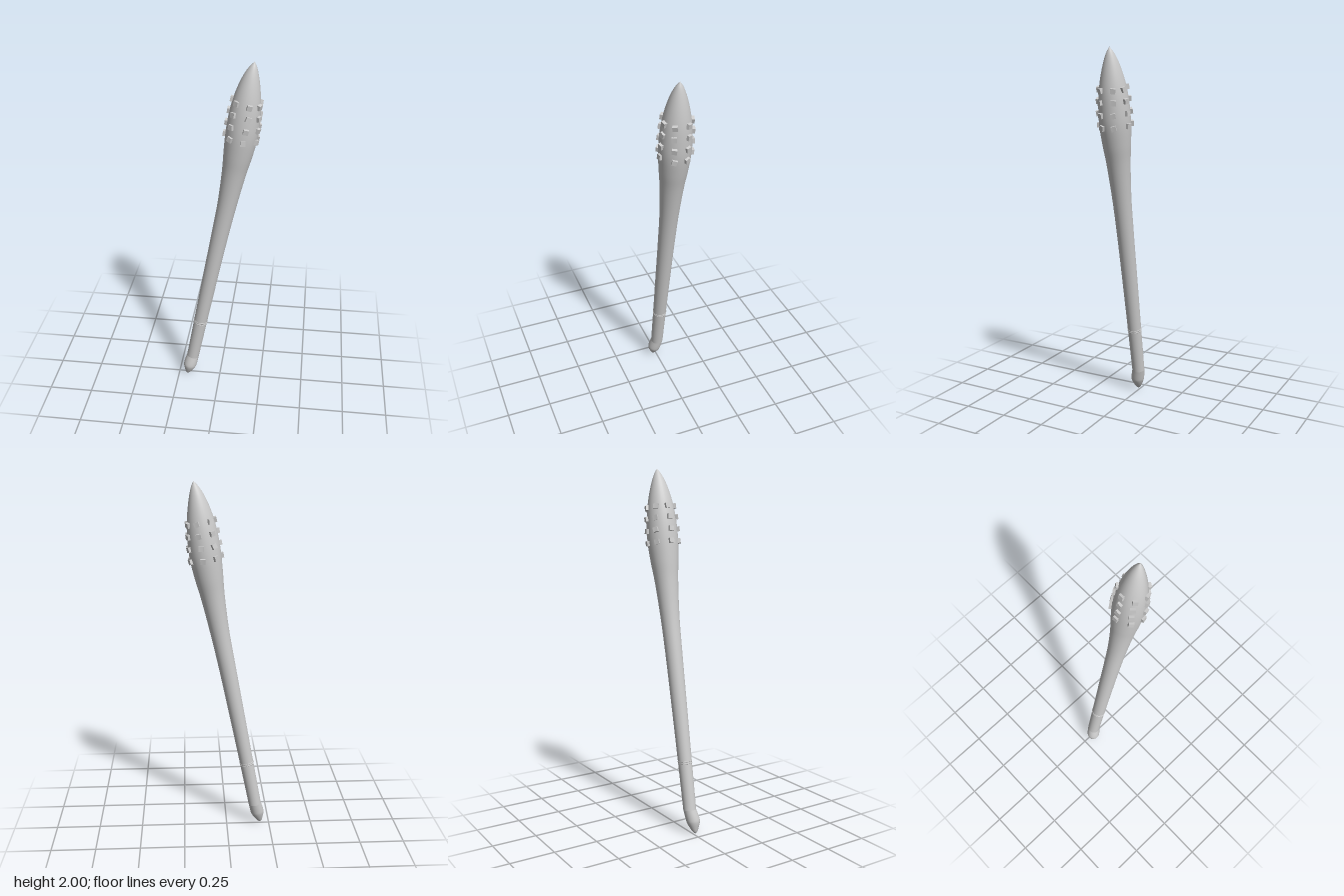
import * as THREE from 'three';

const TILT = 0.188; // lean of the shaft towards +x
const U = new THREE.Vector3(Math.cos(TILT), -Math.sin(TILT), 0);
const AXIS = new THREE.Vector3(Math.sin(TILT), Math.cos(TILT), 0);
const V = new THREE.Vector3(0, 0, 1);
const material = new THREE.MeshStandardMaterial({ color: 0xcccccc, side: THREE.DoubleSide });

// Stations run upwards: [x, y, z, radius]
const BODY = [
  [-0.166, 0.13, 0, 0.036], [-0.115, 0.4, 0, 0.039], [-0.058, 0.7, 0, 0.043],
  [0, 1, 0, 0.0475], [0.04, 1.2, 0, 0.053], [0.077, 1.4, 0, 0.066],
  [0.095, 1.5, 0, 0.077], [0.113, 1.61, 0, 0.085], [0.125, 1.7, 0, 0.083],
  [0.136, 1.78, 0, 0.075], [0.147, 1.86, 0, 0.059], [0.158, 1.93, 0, 0.038],
  [0.167, 1.975, 0, 0.018], [0.172, 2, 0, 0.0005],
];
const POMMEL = [
  [-0.2, 0, 0.015, 0.0005], [-0.199, 0.006, 0.015, 0.01], [-0.192, 0.03, 0.014, 0.024],
  [-0.184, 0.063, 0.0125, 0.037], [-0.179, 0.083, 0.01, 0.0385], [-0.166, 0.132, 0, 0.036],
];

// Linear lookup of centre and radius at a given height
function sectionAt(y) {
  const i = BODY.findIndex((s) => s[1] >= y);
  const a = BODY[i - 1], b = BODY[i], t = (y - a[1]) / (b[1] - a[1]);
  const [x, , z, r] = a.map((v, k) => THREE.MathUtils.lerp(v, b[k], t));
  return { centre: new THREE.Vector3(x, y, z), r };
}

// Unit direction around the tilted axis
const radial = (a) => U.clone().multiplyScalar(Math.cos(a)).addScaledVector(V, Math.sin(a));

// Smooth skin through tilted circular sections
function loft(stations, rings, sides = 32) {
  const path = new THREE.CatmullRomCurve3(stations.map((s) => new THREE.Vector3(s[0], s[1], s[2])));
  const radii = new THREE.CatmullRomCurve3(stations.map((s) => new THREE.Vector3(s[3], s[1], 0)));
  const pos = [], index = [];
  for (let i = 0; i <= rings; i++) {
    const c = path.getPoint(i / rings);
    const r = Math.max(radii.getPoint(i / rings).x, 0.0003);
    for (let j = 0; j < sides; j++) {
      pos.push(...c.clone().addScaledVector(radial((j / sides) * Math.PI * 2), r).toArray());
      if (i === rings) continue;
      const p = i * sides + j, q = i * sides + ((j + 1) % sides);
      index.push(p, p + sides, q, q, p + sides, q + sides);
    }
  }
  const g = new THREE.BufferGeometry();
  g.setAttribute('position', new THREE.Float32BufferAttribute(pos, 3));
  g.setIndex(index);
  g.computeVertexNormals();
  return g;
}

function add(parent, name, geometry) {
  const mesh = new THREE.Mesh(geometry, material);
  mesh.name = name;
  parent.add(mesh);
  return mesh;
}

export function createModel() {
  const club = new THREE.Group();
  club.name = 'studdedClub';

  add(club, 'shaftAndHead', loft(BODY, 65));
  add(club, 'pommel', loft(POMMEL, 20));

  // Thin double band above the grip
  for (const y of [0.391, 0.402]) {
    const { centre, r } = sectionAt(y);
    const band = add(club, 'gripBand', new THREE.TorusGeometry(r - 0.001, 0.003, 8, 32));
    band.position.copy(centre);
    band.quaternion.setFromUnitVectors(V, AXIS);
  }

  // Seven columns of slightly uneven square studs around the head
  const studs = new THREE.Group();
  studs.name = 'studs';
  club.add(studs);
  const box = new THREE.BoxGeometry(0.027, 0.027, 0.024);
  [1.6, 1.665, 1.73, 1.79].forEach((y, row) => {
    const { centre, r } = sectionAt(y);
    for (let k = 0; k < 7; k++) {
      const jitter = Math.sin(row * 5.1 + k * 2.7);
      const out = radial(Math.PI + (k * Math.PI * 2) / 7 + jitter * 0.05);
      const stud = add(studs, 'stud', box);
      stud.position.copy(centre).addScaledVector(out, r + 0.001);
      const side = AXIS.clone().cross(out);
      stud.quaternion.setFromRotationMatrix(new THREE.Matrix4().makeBasis(side, AXIS, out));
      stud.rotateZ(jitter * 0.2);
      stud.rotateX(Math.sin(row * 3.3 + k) * 0.1);
    }
  });
  return club;
}
